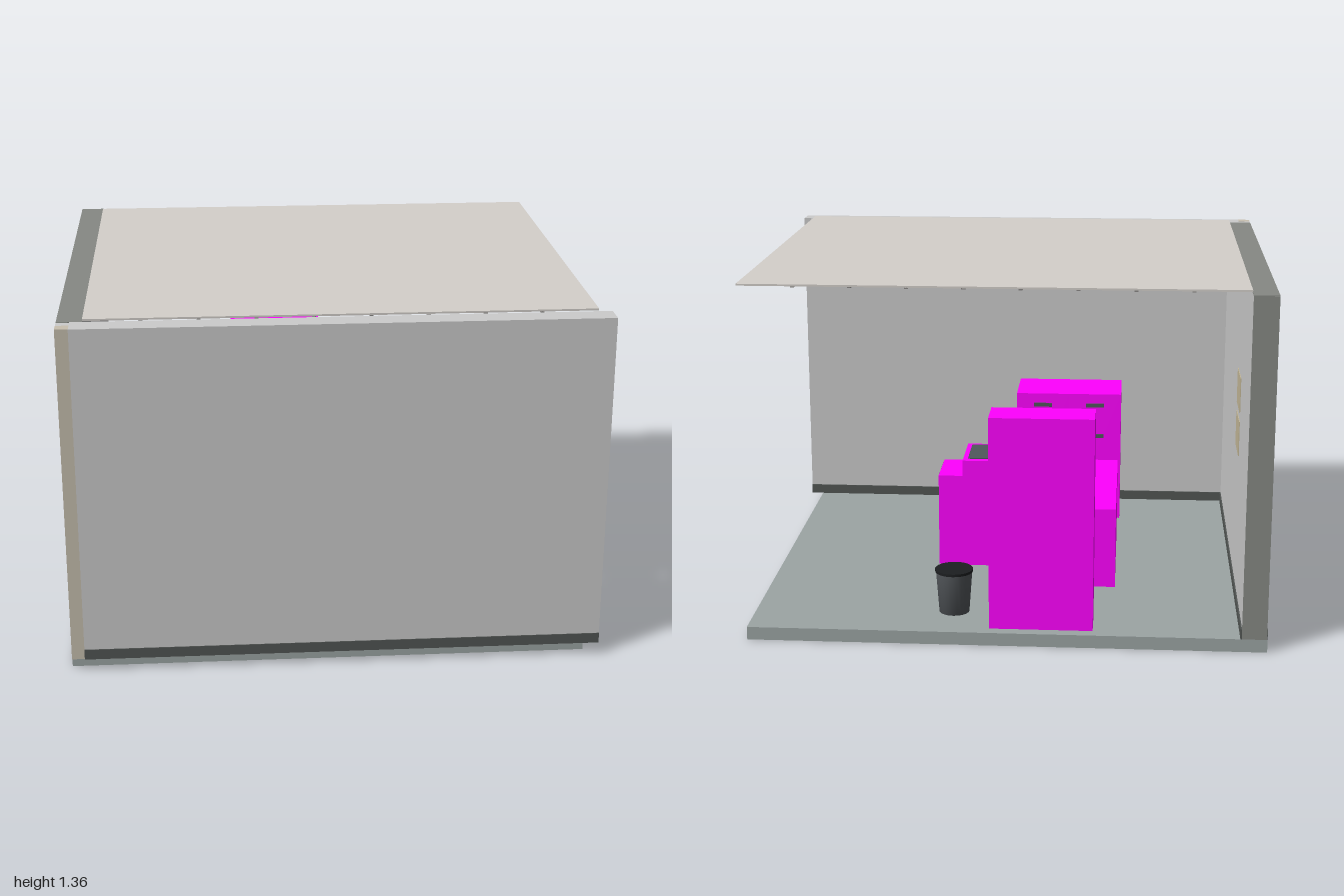
import * as THREE from 'three';

const material = (color, extra = {}) => new THREE.MeshStandardMaterial({ color, ...extra });
const MAT = {
  wall: material(0xd6d8d4),
  cap: material(0x868984),
  post: material(0xc8c0b0),
  skirting: material(0x525654),
  floor: material(0x9ca5a4),
  ceiling: material(0xd4d0cb),
  grid: material(0x8a8886),
  lamp: material(0xe0d8c8),
  furniture: material(0xff00ff),
  dark: material(0x50585c),
  black: material(0x1c1e20),
  paper: material(0xc4b898),
  bin: material(0x54585c, { side: THREE.DoubleSide }),
};

export function createModel() {
  const root = new THREE.Group();
  root.name = 'officeRoom';

  const addGroup = (name) => {
    const g = new THREE.Group();
    g.name = name;
    root.add(g);
    return g;
  };

  // Box given by its lower and upper limits along each axis
  const box = (name, mat, [x0, x1], [y0, y1], [z0, z1], parent = root) => {
    const mesh = new THREE.Mesh(new THREE.BoxGeometry(x1 - x0, y1 - y0, z1 - z0), mat);
    mesh.position.set((x0 + x1) / 2, (y0 + y1) / 2, (z0 + z1) / 2);
    mesh.name = name;
    parent.add(mesh);
    return mesh;
  };

  const base = 0.05, wallTop = 1.345;

  // Floor slab and the two closed walls
  box('floor', MAT.floor, [-1, 0.95], [0, base], [-0.89, 0.845]);
  box('frontWall', MAT.wall, [-0.95, 1], [base, wallTop], [0.8, 0.887]);
  box('sideWall', MAT.wall, [-0.998, -0.905], [base, wallTop - 0.002], [-0.888, 0.84]);
  box('sideWallCap', MAT.cap, [-0.998, -0.905], [wallTop - 0.002, wallTop], [-0.888, 0.8]);
  box('sideWallEnd', MAT.cap, [-0.998, -0.905], [base, wallTop - 0.002], [-0.89, -0.888]);
  box('cornerPost', MAT.post, [-0.998, -0.95], [base, wallTop], [0.84, 0.885]);

  // Skirting on both faces of each wall
  const skirting = addGroup('skirting');
  const sk = [base, 0.09];
  box('frontSkirtingOutside', MAT.skirting, [-0.95, 1], sk, [0.887, 0.89], skirting);
  box('frontSkirtingInside', MAT.skirting, [-0.905, 1], sk, [0.795, 0.8], skirting);
  box('sideSkirtingOutside', MAT.skirting, [-1, -0.998], sk, [-0.89, 0.84], skirting);
  box('sideSkirtingInside', MAT.skirting, [-0.905, -0.9], sk, [-0.89, 0.8], skirting);

  // Ceiling with a tile grid and a lamp panel underneath
  const ceiling = addGroup('ceiling');
  const cx = [-0.905, 0.95], cz = [-0.845, 0.8];
  box('ceilingPanel', MAT.ceiling, cx, [1.348, 1.355], cz, ceiling);
  const columns = 9, rows = 8, half = 0.007;
  for (let i = 1; i < columns; i++) {
    const x = cx[0] + (i / columns) * (cx[1] - cx[0]);
    box('ceilingBarAcross', MAT.grid, [x - half, x + half], [1.344, 1.349], cz, ceiling);
  }
  for (let i = 1; i < rows; i++) {
    const z = cz[0] + (i / rows) * (cz[1] - cz[0]);
    box('ceilingBarAlong', MAT.grid, cx, [1.3445, 1.349], [z - half, z + half], ceiling);
  }
  box('ceilingLamp', MAT.lamp, [-0.21, 0.23], [1.335, 1.349], [-0.13, 0.085], ceiling);

  // Desk and tall cupboard
  box('desk', MAT.furniture, [-0.43, -0.13], [base, 0.375], [-0.37, 0.325]);
  box('tallCupboard', MAT.furniture, [-0.352, 0.038], [base, 0.87], [-0.845, -0.69]);

  // Unit standing in front of the desk
  const unit = addGroup('floorUnit');
  box('unitBack', MAT.furniture, [0.05, 0.2], [base, 0.5], [-0.15, 0.107], unit);
  box('unitTop', MAT.dark, [0.07, 0.18], [0.5, 0.504], [-0.12, 0.08], unit);
  box('unitFront', MAT.furniture, [0.2, 0.3], [base, 0.432], [-0.14, 0.095], unit);
  box('unitSlot', MAT.dark, [0.3, 0.303], [0.4, 0.425], [-0.125, 0.083], unit);

  // Drawer cabinets against the front wall, handles towards the room
  const drawers = addGroup('drawerCabinets');
  for (const x of [-0.44, -0.21]) {
    box('drawerCabinet', MAT.furniture, [x, x + 0.23], [base, 0.62], [0.513, 0.785], drawers);
    for (let i = 0; i < 4; i++) {
      const y = 0.15 + i * 0.14;
      box('drawerHandle', MAT.dark, [x + 0.075, x + 0.155], [y - 0.008, y + 0.008], [0.505, 0.513], drawers);
    }
  }

  // Two notices on the side wall
  for (const y of [[0.607, 0.745], [0.78, 0.918]]) {
    box('wallNotice', MAT.paper, [-0.905, -0.902], y, [-0.375, -0.19]);
  }

  // Tapered waste bin with a rim and dark opening
  const bin = addGroup('wasteBin');
  bin.position.set(0.185, base, -0.672);
  const profile = [[0, 0.002], [0.058, 0.002], [0.07, 0.165]].map(([r, y]) => new THREE.Vector2(r, y));
  const body = new THREE.Mesh(new THREE.LatheGeometry(profile, 24), MAT.bin);
  body.name = 'binBody';
  const rim = new THREE.Mesh(new THREE.CylinderGeometry(0.073, 0.073, 0.01, 24), MAT.black);
  rim.name = 'binRim';
  rim.position.y = 0.169;
  bin.add(body, rim);

  return root;
}
